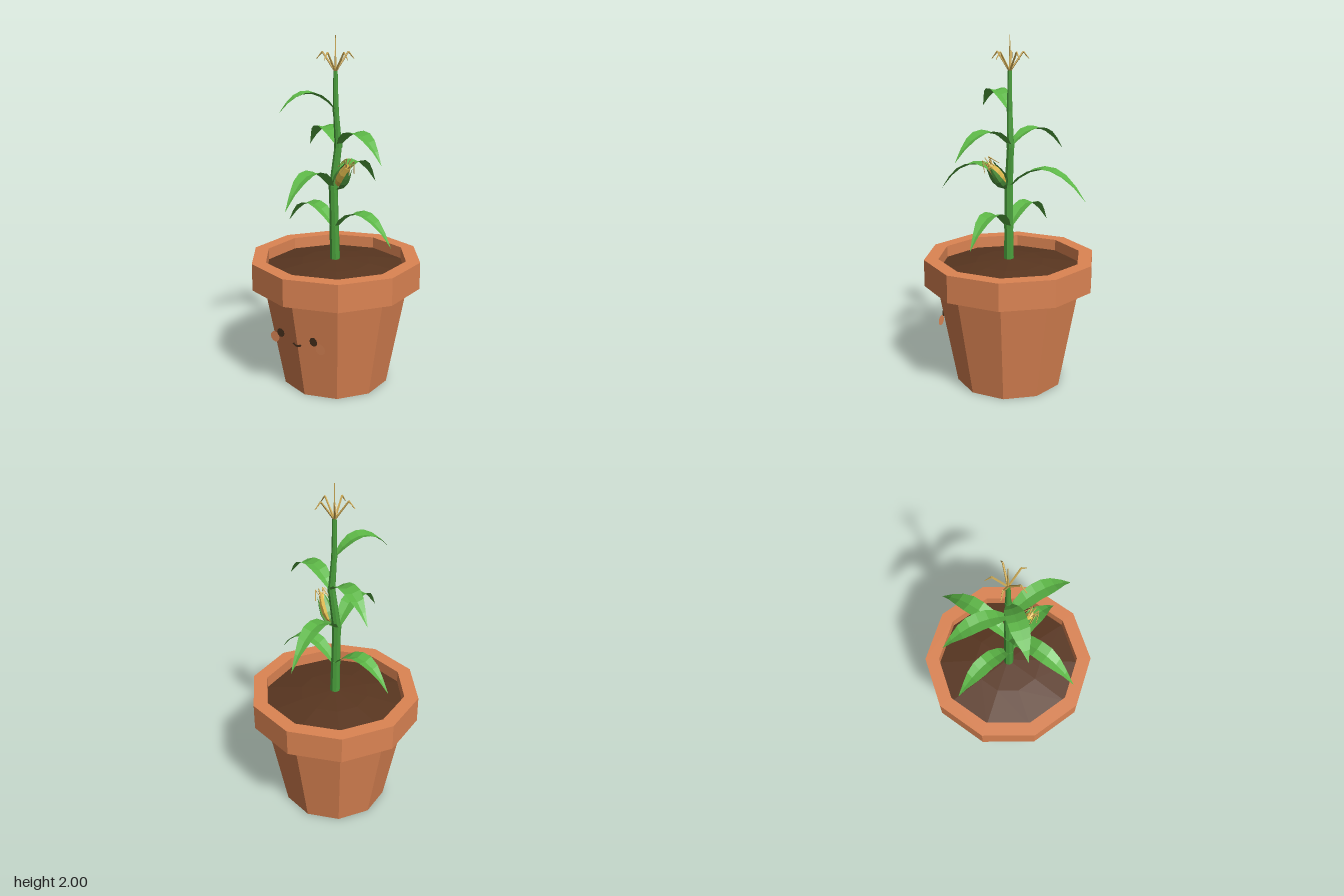
import * as THREE from 'three';

const mat = (name, color, double = false) => new THREE.MeshStandardMaterial({
  name, color, flatShading: true, side: double ? THREE.DoubleSide : THREE.FrontSide });
const V = (x, y, z) => new THREE.Vector3(x, y, z);

export function createModel() {
  const clay = mat('terracotta', 0xdc8453);
  const soilMat = mat('soil', 0x593620, true);
  const stemMat = mat('stemGreen', 0x4a9f3c);
  const leafMat = mat('leafGreen', 0x5cb646, true);
  const huskMat = mat('huskGreen', 0x559f42, true);
  const kernelMat = mat('kernelYellow', 0xecc552);
  const strawMat = mat('straw', 0xcfac57);
  const faceMat = mat('darkBrown', 0x452e1c, true);
  const cheekMat = mat('cheek', 0xe08957, true);

  const model = new THREE.Group();
  model.name = 'pottedCorn';
  const add = (name, geometry, material, parent = model) => {
    const mesh = new THREE.Mesh(geometry, material);
    mesh.name = name;
    parent.add(mesh);
    return mesh;
  };
  const group = name => {
    const g = new THREE.Group();
    g.name = name;
    model.add(g);
    return g;
  };
  // Tapered rod from a to b
  const rod = (name, a, b, ra, rb, sides, material, parent) => {
    const dir = b.clone().sub(a);
    const m = add(name, new THREE.CylinderGeometry(rb, ra, dir.length(), sides), material, parent);
    m.position.copy(a).add(b).multiplyScalar(0.5);
    m.quaternion.setFromUnitVectors(V(0, 1, 0), dir.normalize());
  };
  const lathe = (pts, sides) =>
    new THREE.LatheGeometry(pts.map(p => new THREE.Vector2(p[0], p[1])), sides);

  // Ten-sided pot with an overhanging rim
  add('pot', lathe([[0, 0], [0.313, 0], [0.424, 0.6]], 10), clay);
  add('rim', lathe([[0.41, 0.6], [0.497, 0.6], [0.497, 0.757], [0.415, 0.757], [0.413, 0.67]], 10), clay);
  add('soil', lathe([[0.415, 0.69], [0.2, 0.725], [0, 0.74]], 10), soilMat);

  // Face: flat discs and a small smile
  const face = group('face');
  face.position.z = 0.376;
  for (const s of [-1, 1]) {
    add('eye', new THREE.CircleGeometry(0.026, 10), faceMat, face).position.set(s * 0.113, 0.38, 0.003);
    add('cheek', new THREE.CircleGeometry(0.031, 12), cheekMat, face).position.set(s * 0.157, 0.345, 0);
  }
  const smile = add('mouth', new THREE.RingGeometry(0.026, 0.038, 6, 1, Math.PI * 1.2, Math.PI * 0.6), faceMat, face);
  smile.position.set(0, 0.359, 0.002);

  // Jointed stem with a slight sway
  const stem = group('stem');
  const joints = [[0, 0.72, 0.005, 0.03], [-0.003, 0.93, 0.008, 0.027], [-0.008, 1.16, 0.01, 0.025],
    [0.012, 1.4, -0.01, 0.021], [0.002, 1.6, 0, 0.016], [0, 1.81, 0, 0.012]];
  for (let i = 0; i < joints.length - 1; i++) {
    const [a, b] = [joints[i], joints[i + 1]];
    rod('stemSegment', V(a[0], a[1], a[2]), V(b[0], b[1], b[2]), a[3], b[3], 8, stemMat, stem);
    if (i) rod('stemNode', V(a[0], a[1] - 0.012, a[2]), V(a[0], a[1] + 0.012, a[2]),
      a[3] + 0.002, a[3] + 0.002, 8, stemMat, stem);
  }

  // Arching strip with a centre crease; widths lists the half-width at each step
  const strip = (curve, widths, side, crease) => {
    const pos = [], idx = [], n = widths.length - 1;
    widths.forEach((w, i) => {
      const p = curve.getPoint(i / n);
      for (const s of [-1, 0, 1]) {
        const q = p.clone().addScaledVector(side, s * w);
        if (s === 0) q.addScaledVector(crease, w);
        pos.push(q.x, q.y, q.z);
      }
      if (i) for (const c of [0, 1]) {
        const a = (i - 1) * 3 + c, b = i * 3 + c;
        idx.push(a, a + 1, b, a + 1, b + 1, b);
      }
    });
    const g = new THREE.BufferGeometry();
    g.setAttribute('position', new THREE.Float32BufferAttribute(pos, 3));
    g.setIndex(idx);
    g.computeVertexNormals();
    return g;
  };

  // Leaves: root, tip and crown height of each arch
  const leaves = group('leaves');
  const leafWidths = [0.014, 0.038, 0.05, 0.05, 0.05, 0.039, 0.019, 0];
  [
    [V(0, 0.92, 0.005), V(0.4, 0.88, 0.05), 1.045],
    [V(0, 0.92, 0.005), V(-0.39, 0.89, -0.07), 1.045],
    [V(-0.01, 1.155, 0.01), V(-0.012, 1.11, 0.45), 1.285],
    [V(-0.01, 1.155, 0.01), V(-0.012, 1.11, -0.453), 1.285],
    [V(0.012, 1.4, -0.01), V(0.385, 1.35, 0.14), 1.5],
    [V(0.012, 1.4, -0.01), V(-0.318, 1.35, -0.193), 1.492],
    [V(0, 1.6, 0.003), V(-0.192, 1.59, 0.262), 1.705],
  ].forEach(([root, tip, top]) => {
    const mid = root.clone().add(tip).multiplyScalar(0.5);
    mid.y = 2 * top - mid.y;
    const side = V(tip.z - root.z, 0, root.x - tip.x).normalize();
    add('leaf', strip(new THREE.QuadraticBezierCurve3(root, mid, tip), leafWidths, side, V(0, -0.25, 0)),
      leafMat, leaves);
  });

  // Ear of corn leaning to the left, with husk blades that part at the front and back
  const ear = group('ear');
  ear.position.set(0.02, 1.16, 0.015);
  ear.quaternion.setFromUnitVectors(V(0, 1, 0), V(0.56, 0.78, 0.27).normalize());
  add('cob', lathe([[0, 0.02], [0.024, 0.04], [0.034, 0.08], [0.031, 0.13], [0.018, 0.18], [0, 0.205]], 8), kernelMat, ear);
  for (const a of [1.1, 2.0, 4.25, 5.2]) {
    const out = V(Math.sin(a), 0, Math.cos(a));
    const at = (r, y) => out.clone().multiplyScalar(r).setY(y);
    const path = new THREE.CatmullRomCurve3([at(0.008, 0), at(0.034, 0.05), at(0.038, 0.1), at(0.03, 0.15), at(0.03, 0.185)]);
    add('husk', strip(path, [0.008, 0.022, 0.024, 0.019, 0.011, 0], V(out.z, 0, -out.x), out.clone().multiplyScalar(0.3)),
      huskMat, ear);
  }
  // Silk: short strands that spread and hang from the tip
  for (let i = 0; i < 7; i++) {
    const a = i * Math.PI * 2 / 7, p = (r, y) => V(Math.sin(a) * r, y, Math.cos(a) * r);
    rod('silk', p(0.008, 0.17), p(0.026, 0.222), 0.003, 0.003, 4, strawMat, ear);
    rod('silkTip', p(0.026, 0.222), p(0.05, 0.165), 0.003, 0.0015, 4, strawMat, ear);
  }

  // Tassel: central spike and five drooping arms
  const tassel = group('tassel');
  rod('spike', V(0, 1.8, 0), V(0, 2, 0), 0.006, 0.002, 5, strawMat, tassel);
  for (let i = 0; i < 5; i++) {
    const a = i * Math.PI * 2 / 5, p = (r, y) => V(Math.sin(a) * r, y, Math.cos(a) * r);
    rod('tasselArm', p(0, 1.805), p(0.075, 1.912), 0.006, 0.005, 5, strawMat, tassel);
    rod('tasselTip', p(0.075, 1.912), p(0.108, 1.873), 0.005, 0.002, 5, strawMat, tassel);
  }
  return model;
}
